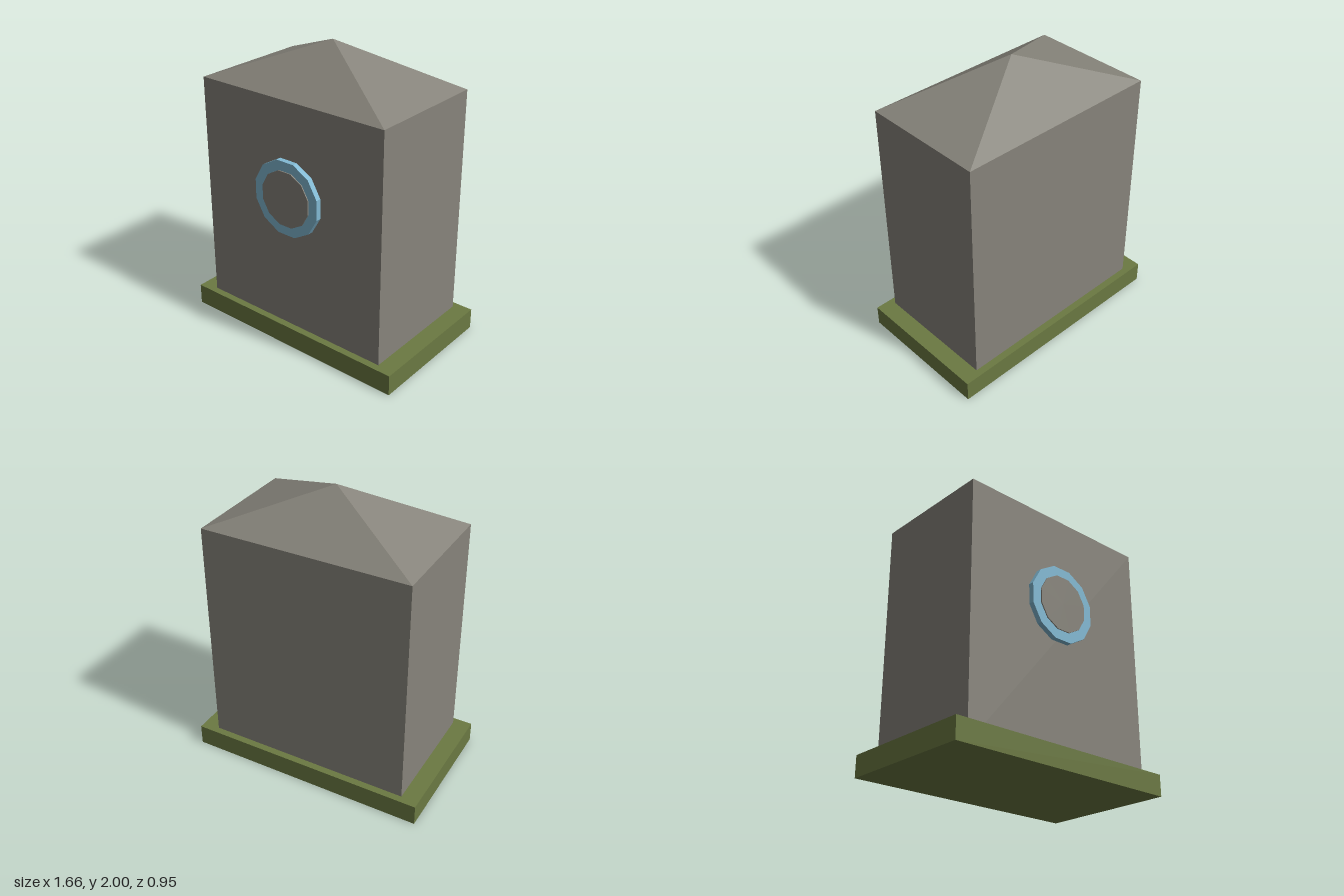
import * as THREE from 'three';

const material = (name, color) => {
  const m = new THREE.MeshStandardMaterial({ color, flatShading: true });
  m.name = name;
  return m;
};

export function createModel() {
  const group = new THREE.Group();
  const stone = material('stone grey', 0x87847b);
  const blue = material('pale blue', 0x81b9d3);
  const grass = material('moss green', 0x6b7942);

  const add = (name, geometry, mat, x, y, z) => {
    const mesh = new THREE.Mesh(geometry, mat);
    mesh.name = name;
    mesh.position.set(x, y, z);
    group.add(mesh);
  };

  const halfWidth = 0.713, halfDepth = 0.427;
  const baseTop = 0.143, wallTop = 1.716, peak = 2;

  // Ground slab
  add('base', new THREE.BoxGeometry(1.664, baseTop, 0.95), grass, 0, baseTop / 2, 0);

  // Tower walls, sunk slightly into the slab
  const wallBottom = 0.02;
  add('walls', new THREE.BoxGeometry(halfWidth * 2, wallTop - wallBottom, halfDepth * 2),
    stone, 0, (wallTop + wallBottom) / 2, 0);

  // Four-sided roof meeting at one point
  const roof = new THREE.ConeGeometry(Math.SQRT2, peak - wallTop, 4, 1, true)
    .rotateY(Math.PI / 4)
    .scale(halfWidth, 1, halfDepth);
  add('roof', roof, stone, 0, (peak + wallTop) / 2, 0);

  // Twelve-sided discs on the front, with flat sides at top and bottom
  const disc = (name, apothem, back, front, mat) => {
    const r = apothem / Math.cos(Math.PI / 12);
    const geometry = new THREE.CylinderGeometry(r, r, front - back, 12)
      .rotateY(Math.PI / 12)
      .rotateX(Math.PI / 2);
    add(name, geometry, mat, 0, 1.083, (front + back) / 2);
  };
  disc('windowFrame', 0.251, 0.42, 0.463, blue);
  disc('windowCentre', 0.186, 0.43, 0.47, stone);

  return group;
}
